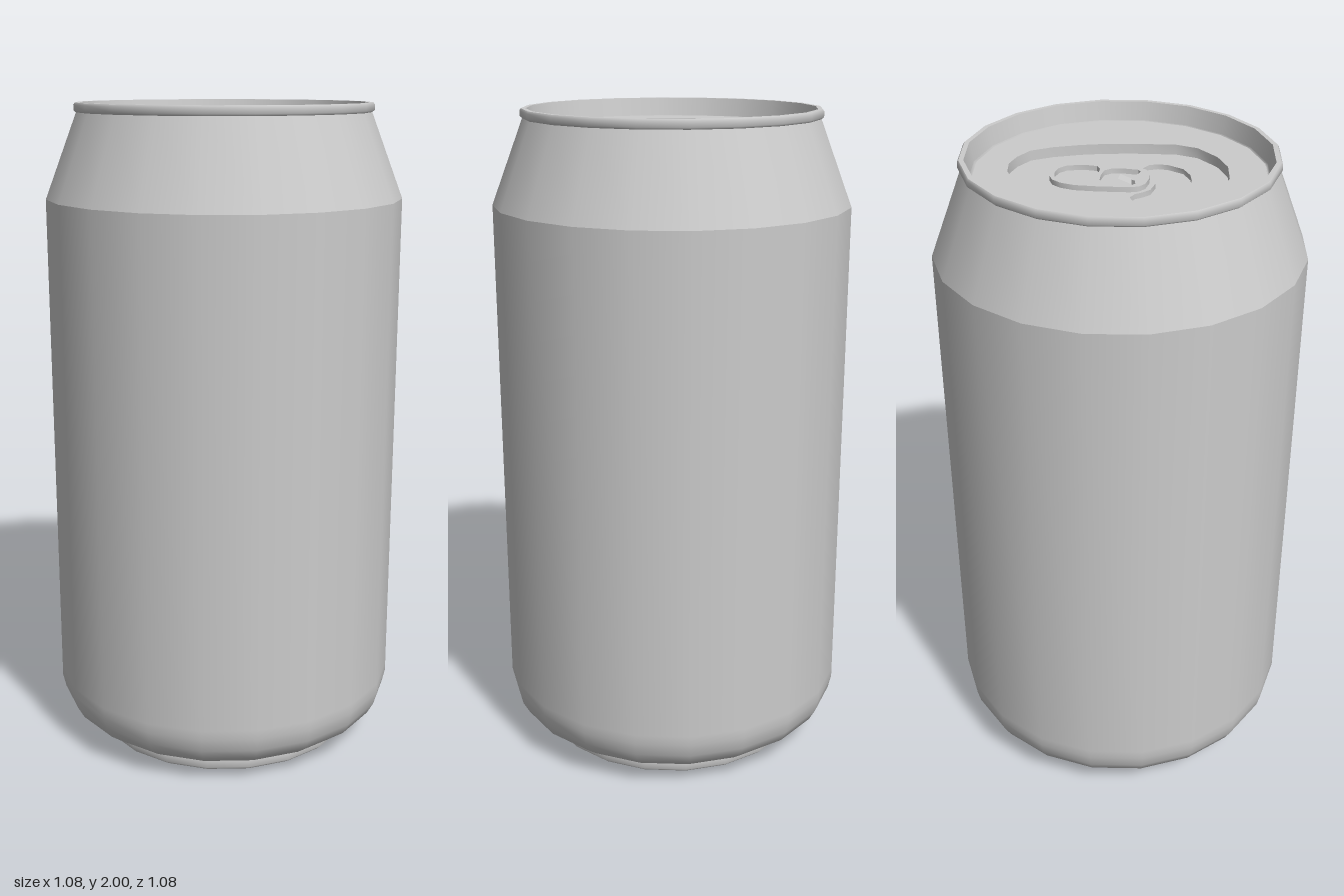
import * as THREE from 'three';
import { toCreasedNormals } from 'three/addons/utils/BufferGeometryUtils.js';

const SIDES = 20;
const material = new THREE.MeshStandardMaterial({ color: 0xcccccc, side: THREE.DoubleSide });
const vectors = (points) => points.map(([x, y]) => new THREE.Vector2(x, y));

// Revolved section; profile is [radius, height], smooth inside one section
function turned(name, profile) {
  const mesh = new THREE.Mesh(new THREE.LatheGeometry(vectors(profile), SIDES), material);
  mesh.name = name;
  return mesh;
}

// Closed [x, z] outline mirrored from its +x half, listed from back to front
function mirrored(half) {
  const other = half.filter(([x]) => x > 0).reverse().map(([x, z]) => [-x, z]);
  return vectors([...half, ...other]);
}

// Horizontal plate with cut-outs, its upper face at height top
function plate(name, outline, holes, top, depth) {
  const shape = new THREE.Shape(outline);
  for (const hole of holes) shape.holes.push(new THREE.Path(hole));
  const geometry = new THREE.ExtrudeGeometry(shape, { depth, bevelEnabled: false });
  geometry.rotateX(Math.PI / 2);
  const mesh = new THREE.Mesh(toCreasedNormals(geometry, 0.7), material);
  mesh.name = name;
  mesh.position.y = top;
  return mesh;
}

export function createModel() {
  const can = new THREE.Group();
  can.name = 'drinkCan';

  // Shell, from the base up to the rolled rim
  can.add(
    turned('base', [[0, 0], [0.41, 0]]),
    turned('foot', [[0.41, 0], [0.42, 0.01], [0.42, 0.035], [0.415, 0.042]]),
    turned('footLedge', [[0.415, 0.042], [0.435, 0.042]]),
    turned('body', [[0.435, 0.042], [0.475, 0.065], [0.51, 0.092], [0.53, 0.128], [0.54, 0.17], [0.54, 0.2], [0.54, 1.72]]),
    turned('shoulder', [[0.54, 1.72], [0.443, 1.972]]),
    turned('rimOuter', [[0.443, 1.972], [0.45, 1.978], [0.45, 1.994], [0.446, 2]]),
    turned('rimTop', [[0.446, 2], [0.432, 2]]),
    turned('rimInner', [[0.432, 2], [0.422, 1.945]]),
    turned('lidGroove', [[0.422, 1.945], [0.418, 1.932], [0.414, 1.945]]),
  );

  // Outlines of the lid, its sunken panel and the mouth
  const lidOutline = [];
  for (let i = 0; i < SIDES; i++) {
    const a = (i / SIDES) * Math.PI * 2;
    lidOutline.push(new THREE.Vector2(0.414 * Math.sin(a), 0.414 * Math.cos(a)));
  }
  const panelOutline = mirrored([
    [0, -0.32], [0.055, -0.31], [0.11, -0.283], [0.148, -0.225], [0.18, -0.15], [0.2, -0.085],
    [0.217, 0], [0.232, 0.125], [0.215, 0.19], [0.155, 0.255], [0.085, 0.293], [0, 0.307],
  ]);
  const mouthOutline = mirrored([
    [0, 0.1], [0.045, 0.093], [0.065, 0.077], [0.083, 0.056], [0.108, 0.046], [0.135, 0.06],
    [0.147, 0.085], [0.145, 0.115], [0.122, 0.162], [0.08, 0.188], [0.04, 0.197], [0, 0.198],
  ]);
  const panelTop = 1.915;
  can.add(
    plate('lid', lidOutline, [panelOutline], 1.945, 0.03),
    plate('panel', panelOutline, [mouthOutline], panelTop, 0.015),
    plate('mouth', mouthOutline, [], 1.9, 0.004),
  );

  // Pull tab: ring plate with a finger hole and a rivet opening
  const tab = new THREE.Group();
  tab.name = 'pullTab';
  const tabOutline = mirrored([
    [0, -0.2], [0.03, -0.196], [0.057, -0.182], [0.075, -0.155], [0.085, -0.115],
    [0.083, -0.05], [0.073, 0.04], [0.064, 0.063], [0.042, 0.078], [0, 0.083],
  ]);
  const fingerHole = mirrored([
    [0, -0.187], [0.03, -0.182], [0.053, -0.163], [0.067, -0.115], [0.064, -0.078], [0.045, -0.066], [0, -0.064],
  ]);
  const rivetHole = mirrored([
    [0, -0.055], [0.035, -0.052], [0.052, -0.035], [0.059, 0], [0.057, 0.042], [0.045, 0.051],
    [0.025, 0.046], [0.018, 0.036], [0, 0.036],
  ]);
  tab.add(plate('tabRing', tabOutline, [fingerHole, rivetHole], panelTop + 0.015, 0.015));

  // Tongue sloping from the tab down to the panel
  const tongue = new THREE.Mesh(new THREE.PlaneGeometry(0.036, 0.042), material);
  tongue.name = 'tabTongue';
  tongue.rotation.x = -Math.PI / 2 + 0.34;
  tongue.position.set(0, panelTop + 0.008, 0.017);
  tab.add(tongue);
  can.add(tab);

  return can;
}
